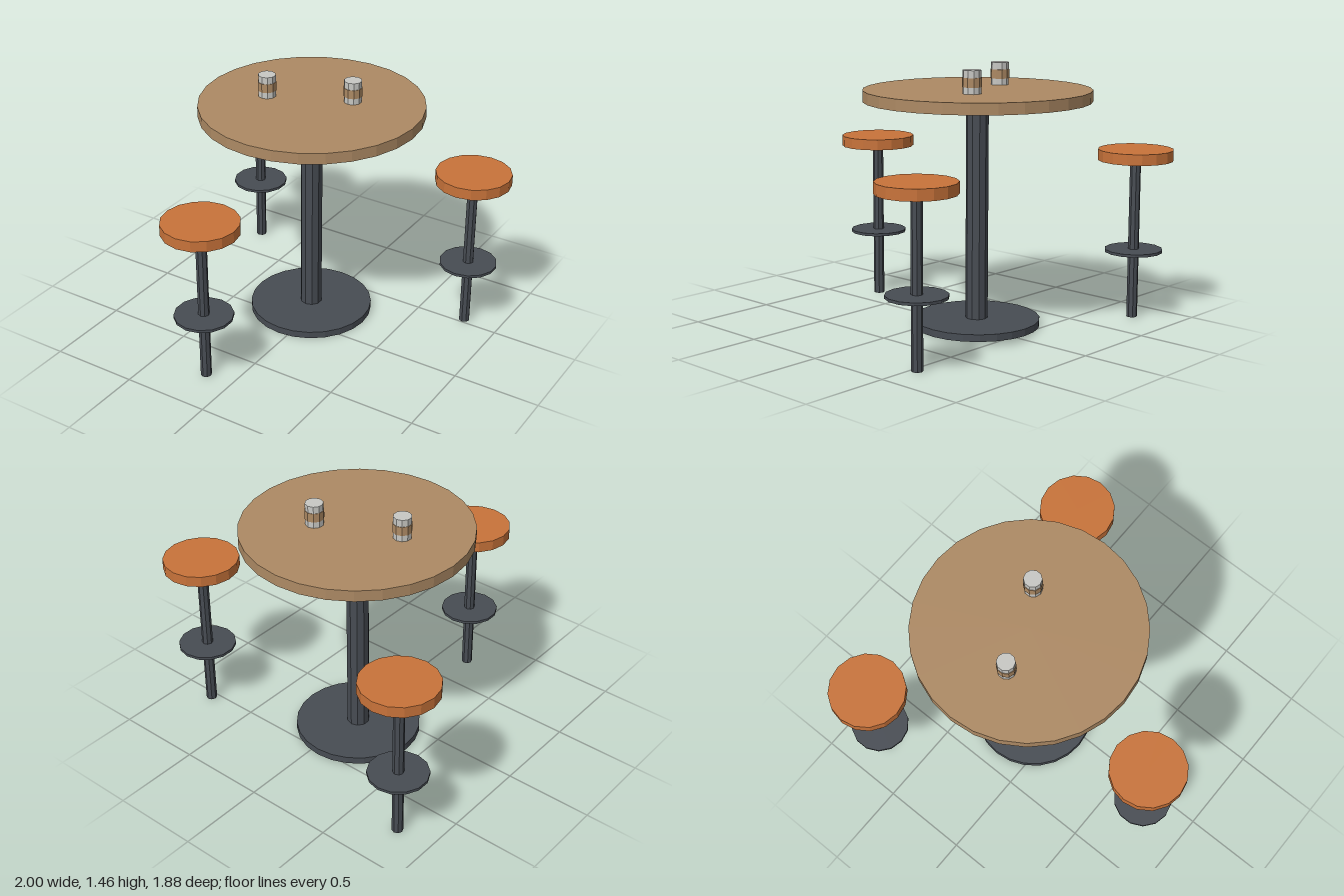
import * as THREE from 'three';

const material = (name, color) => {
  const m = new THREE.MeshStandardMaterial({ color, flatShading: true });
  m.name = name;
  return m;
};

export function createModel() {
  const wood = material('wood', 0xad8a64);
  const orange = material('orange seat', 0xc8733a);
  const metal = material('dark metal', 0x474c53);
  const glass = material('pale cup', 0xc8c8c4);

  // Upright disc or post between two heights
  const disc = (name, radius, bottom, top, sides, mat) => {
    const mesh = new THREE.Mesh(new THREE.CylinderGeometry(radius, radius, top - bottom, sides), mat);
    mesh.name = name;
    mesh.position.y = (bottom + top) / 2;
    return mesh;
  };
  const assemble = (name, x, z, ...parts) => {
    const group = new THREE.Group();
    group.name = name;
    group.position.set(x, 0, z);
    group.add(...parts);
    return group;
  };

  const model = new THREE.Group();
  model.name = 'barTableWithStools';

  // Table
  model.add(assemble('table', -0.057, -0.181,
    disc('tableBase', 0.356, 0, 0.04, 24, metal),
    disc('tablePost', 0.063, 0.04, 1.275, 10, metal),
    disc('tableTop', 0.633, 1.272, 1.335, 28, wood)));

  // Three stools, each on a post with a round footrest
  [[-0.786, -0.73], [0.786, -0.535], [-0.172, 0.727]].forEach(([x, z], i) => {
    model.add(assemble(`stool${i + 1}`, x, z,
      disc('stoolPost', 0.031, 0, 0.917, 8, metal),
      disc('footrest', 0.165, 0.385, 0.401, 14, metal),
      disc('seat', 0.214, 0.915, 0.977, 16, orange)));
  });

  // Two cups, each with a band round the middle
  [[-0.313, -0.12], [0.13, -0.308]].forEach(([x, z], i) => {
    model.add(assemble(`cup${i + 1}`, x, z,
      disc('cupBody', 0.0505, 1.335, 1.462, 10, glass),
      disc('cupBand', 0.0535, 1.371, 1.422, 10, wood)));
  });

  return model;
}
